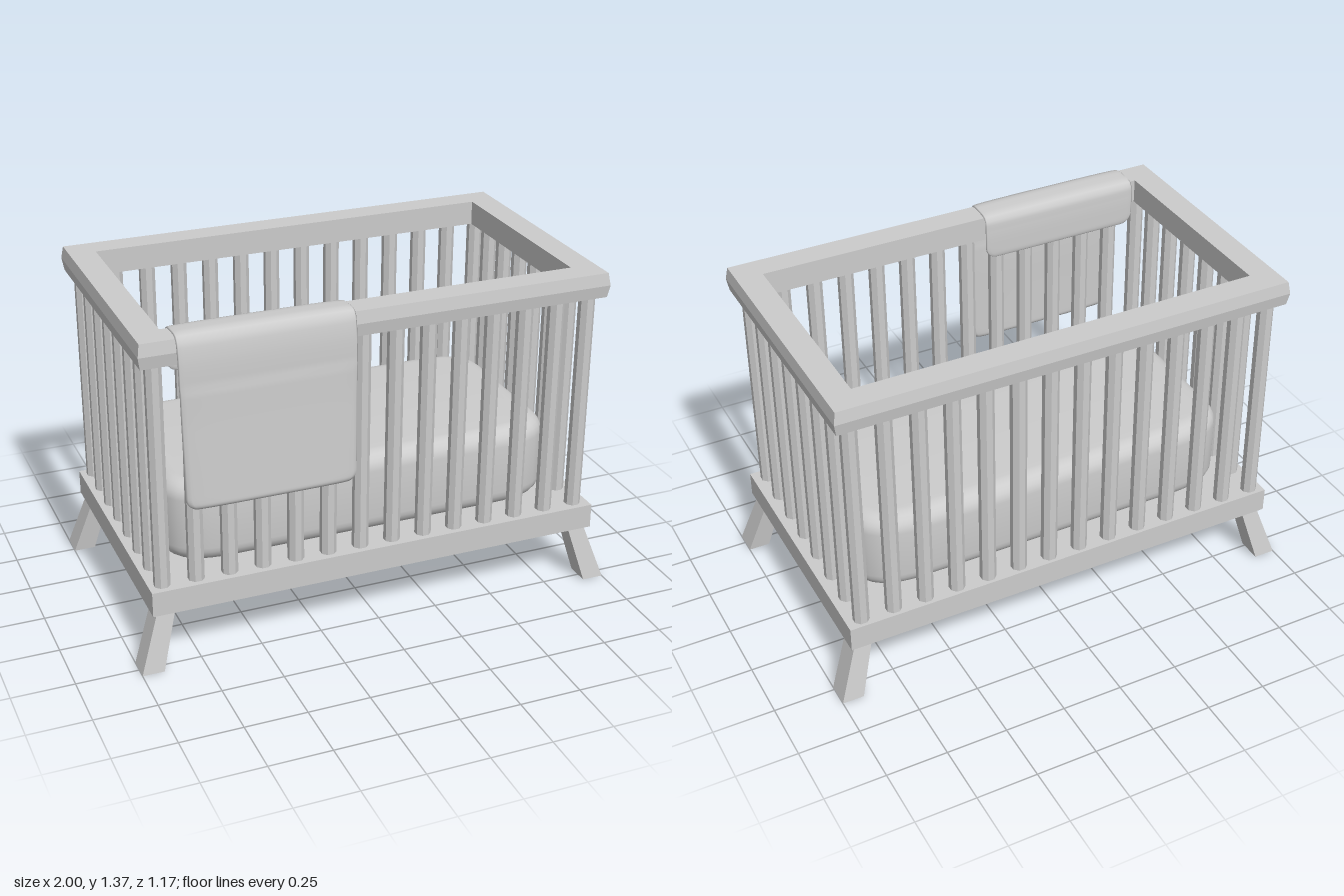
import * as THREE from 'three';
import { toCreasedNormals } from 'three/addons/utils/BufferGeometryUtils.js';

const smooth = new THREE.MeshStandardMaterial({ color: 0xcccccc });
const flat = new THREE.MeshStandardMaterial({ color: 0xcccccc, flatShading: true });
const cloth = new THREE.MeshStandardMaterial({ color: 0xcccccc, side: THREE.DoubleSide });

const MID_Z = -0.02; // centre of the frame front to back

function addMesh(parent, name, geometry, material, x = 0, y = 0, z = 0) {
  const mesh = new THREE.Mesh(geometry, material);
  mesh.name = name;
  mesh.position.set(x, y, z);
  parent.add(mesh);
  return mesh;
}

// Skin a surface over rings of Vector3; closed joins the last ring to the first
function skin(rings, closed) {
  const n = rings[0].length, index = [];
  const last = closed ? rings.length : rings.length - 1;
  for (let t = 0; t < last; t++) {
    const t2 = (t + 1) % rings.length;
    for (let a = 0; a < n; a++) {
      const b = (a + 1) % n;
      index.push(t * n + a, t * n + b, t2 * n + b, t * n + a, t2 * n + b, t2 * n + a);
    }
  }
  const geometry = new THREE.BufferGeometry().setFromPoints(rings.flat());
  geometry.setIndex(index);
  geometry.computeVertexNormals();
  return geometry;
}

// Rectangular rail with a slightly pointed outer edge
function railGeometry() {
  const profile = [[-0.115, 1.255], [-0.008, 1.255], [0, 1.305], [-0.008, 1.355], [-0.115, 1.355]];
  const corners = [[1, -1], [1, 1], [-1, 1], [-1, -1]];
  return skin(corners.map(([sx, sz]) => profile.map(([d, y]) =>
    new THREE.Vector3(sx * (0.95 + d), y, MID_Z + sz * (0.55 + d)))), true);
}

// Padded mattress: soft-cornered outline with a rounded edge
function mattressGeometry() {
  const bevel = 0.07, hx = 0.822 - bevel, hz = 0.425 - bevel, cx = 0.19, cz = 0.11;
  const shape = new THREE.Shape();
  shape.moveTo(hx, -hz + cz);
  shape.lineTo(hx, hz - cz);
  shape.bezierCurveTo(hx, hz - cz * 0.3, hx - cx * 0.3, hz, hx - cx, hz);
  shape.lineTo(-hx + cx, hz);
  shape.bezierCurveTo(-hx + cx * 0.3, hz, -hx, hz - cz * 0.3, -hx, hz - cz);
  shape.lineTo(-hx, -hz + cz);
  shape.bezierCurveTo(-hx, -hz + cz * 0.3, -hx + cx * 0.3, -hz, -hx + cx, -hz);
  shape.lineTo(hx - cx, -hz);
  shape.bezierCurveTo(hx - cx * 0.3, -hz, hx, -hz + cz * 0.3, hx, -hz + cz);
  const height = 0.345;
  const geometry = new THREE.ExtrudeGeometry(shape, {
    depth: height - 2 * bevel, bevelSize: bevel, bevelThickness: bevel, bevelSegments: 6, curveSegments: 8,
  });
  geometry.rotateX(-Math.PI / 2);
  geometry.translate(0, bevel, 0);
  return toCreasedNormals(geometry, 0.7);
}

// Splayed, tapered leg for the corner given by the signs sx and sz
function legGeometry(sx, sz) {
  const geometry = new THREE.BoxGeometry(1, 1, 1);
  const p = geometry.attributes.position;
  for (let i = 0; i < p.count; i++) {
    const foot = p.getY(i) < 0;
    const x = foot ? 0.956 + p.getX(i) * sx * 0.088 : 0.882 + p.getX(i) * sx * 0.072;
    const z = foot ? 0.516 + p.getZ(i) * sz * 0.1 : 0.476 + p.getZ(i) * sz * 0.09;
    p.setXYZ(i, sx * x, foot ? 0 : 0.24, MID_Z + sz * z);
  }
  geometry.computeVertexNormals();
  return geometry;
}

// Blanket: flattened rings swept over the front rail, thicker at the low hem
function blanketGeometry() {
  const path = new THREE.CatmullRomCurve3([
    [1.175, 0.393], [1.3, 0.396], [1.352, 0.405], [1.363, 0.46], [1.357, 0.522],
    [1.3, 0.541], [1.0, 0.551], [0.682, 0.56],
  ].map(([y, z]) => new THREE.Vector3(0, y, z)), false, 'centripetal');
  const length = path.getLength(), steps = 70, around = 28, rings = [];
  const round = (d, r) => (d >= r ? 1 : Math.sqrt(1 - (1 - d / r) ** 2));
  const power = (v, e) => Math.sign(v) * Math.abs(v) ** e;
  for (let i = 0; i <= steps; i++) {
    const s = 0.5 - 0.5 * Math.cos((Math.PI * i) / steps);
    const c = path.getPointAt(s), t = path.getTangentAt(s);
    const end = Math.min(s, 1 - s) * length;
    const drop = THREE.MathUtils.clamp((1.3 - c.y) / 0.6, 0, 1) * (s > 0.5 ? 1 : 0);
    const width = 0.345 - 0.006 * drop - 0.05 * (1 - round(end, 0.05));
    const thick = (0.008 + 0.017 * drop) * round(end, 0.025);
    const ring = [];
    for (let a = 0; a < around; a++) {
      const angle = (2 * Math.PI * a) / around;
      const u = power(Math.cos(angle), 0.6) * width, n = power(Math.sin(angle), 0.5) * thick;
      ring.push(new THREE.Vector3(-0.465 + u, c.y + n * t.z, c.z - n * t.y));
    }
    rings.push(ring);
  }
  return skin(rings, false);
}

export function createModel() {
  const crib = new THREE.Group();
  crib.name = 'crib';

  addMesh(crib, 'base', new THREE.BoxGeometry(1.88, 0.102, 1.085), flat, 0, 0.287, MID_Z);
  addMesh(crib, 'topRail', railGeometry(), flat);
  addMesh(crib, 'mattress', mattressGeometry(), smooth, 0, 0.339, MID_Z);
  addMesh(crib, 'blanket', blanketGeometry(), cloth);

  const legs = new THREE.Group();
  legs.name = 'legs';
  crib.add(legs);
  for (const sx of [-1, 1]) {
    for (const sz of [-1, 1]) {
      const name = (sz > 0 ? 'front' : 'back') + (sx > 0 ? 'Left' : 'Right') + 'Leg';
      // Mirrored signs cancel out in legGeometry, so winding stays outward
      addMesh(legs, name, legGeometry(sx, sz), flat);
    }
  }

  // Slats: 14 along each long side, 8 along each end, sharing the corners
  const slats = new THREE.Group();
  slats.name = 'slats';
  crib.add(slats);
  const slat = new THREE.CylinderGeometry(0.033, 0.033, 0.94, 8);
  slat.rotateY(Math.PI / 8);
  slat.rotateX(0.012);
  const addSlat = (x, z) => addMesh(slats, 'slat', slat, flat, x, 0.8, z);
  const countX = 14, countZ = 8, x0 = -0.885, x1 = 0.877, z0 = -0.513, z1 = 0.475;
  for (let i = 0; i < countX; i++) {
    const x = THREE.MathUtils.lerp(x0, x1, i / (countX - 1));
    addSlat(x, z0);
    addSlat(x, z1);
  }
  for (let i = 1; i < countZ - 1; i++) {
    const z = THREE.MathUtils.lerp(z0, z1, i / (countZ - 1));
    addSlat(x0, z);
    addSlat(x1, z);
  }
  return crib;
}
